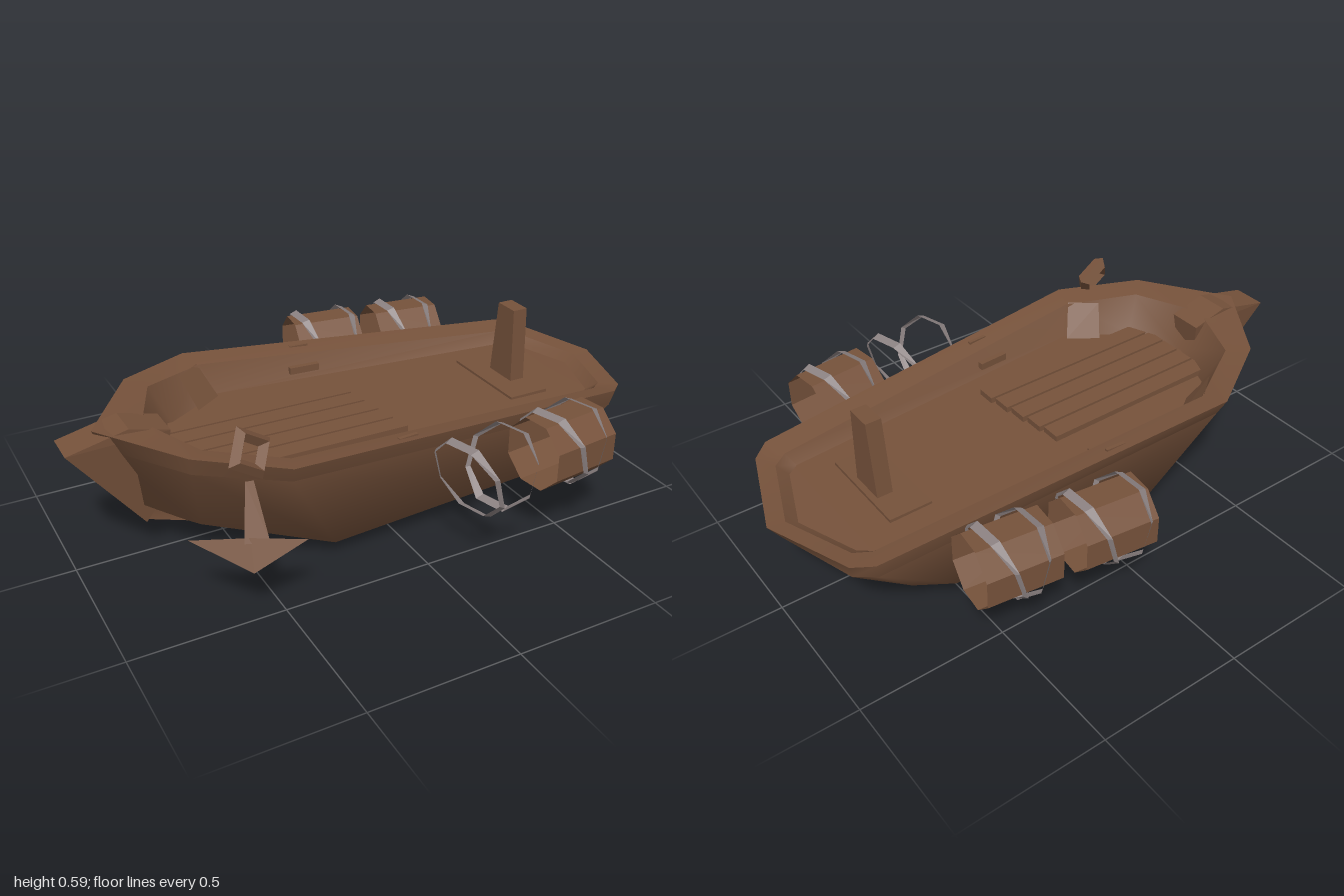
import * as THREE from 'three';
import { mergeVertices } from 'three/addons/utils/BufferGeometryUtils.js';

const wood = new THREE.MeshStandardMaterial({ color: 0x76523b });
wood.name = 'brown wood';
const iron = new THREE.MeshStandardMaterial({ color: 0x8a8080, side: THREE.DoubleSide });
iron.name = 'grey iron';
const sheet = new THREE.MeshStandardMaterial({ color: 0x76523b, side: THREE.DoubleSide });
sheet.name = 'brown thin wood';

// Half-perimeter rings, bow to stern, running from the deck over the rail to the keel
const inner = [[-0.66, 0.33, 0], [-0.58, 0.33, 0.2], [-0.37, 0.33, 0.33], [0.78, 0.31, 0.25], [0.82, 0.31, 0.22], [0.9, 0.305, 0]];
const rings = [
  inner.map(([x, y]) => [x, y, 0]),
  inner,
  [[-0.74, 0.465, 0], [-0.64, 0.46, 0.24], [-0.41, 0.435, 0.37], [0.8, 0.345, 0.285], [0.85, 0.34, 0.25], [0.94, 0.33, 0]],
  [[-0.9, 0.475, 0], [-0.7, 0.475, 0.3], [-0.44, 0.45, 0.455], [0.83, 0.36, 0.36], [0.89, 0.35, 0.31], [1, 0.337, 0]],
  [[-0.86, 0.4, 0], [-0.69, 0.41, 0.28], [-0.43, 0.39, 0.425], [0.82, 0.305, 0.35], [0.88, 0.3, 0.3], [0.965, 0.285, 0]],
  [[-0.8, 0.2, 0], [-0.62, 0.13, 0.13], [-0.24, 0.052, 0.32], [0.55, 0.1, 0.325], [0.67, 0.11, 0.26], [0.88, 0.17, 0]],
  [[-0.75, 0.115, 0], [-0.62, 0.07, 0], [-0.44, 0, 0], [0.5, 0, 0], [0.6, 0, 0], [0.64, 0.003, 0]],
];

// Lofts a run of rings and mirrors it across the centreline
function loft(run) {
  const pos = [], index = [];
  for (const side of [1, -1]) {
    const base = pos.length / 3, n = run[0].length;
    run.forEach(r => r.forEach(([x, y, z]) => pos.push(x, y, z * side)));
    for (let j = 0; j < run.length - 1; j++) {
      for (let i = 0; i < n - 1; i++) {
        const a = base + j * n + i, b = a + 1, d = a + n, c = d + 1;
        if (side > 0) index.push(a, d, c, a, c, b);
        else index.push(a, c, d, a, b, c);
      }
    }
  }
  const g = new THREE.BufferGeometry();
  g.setAttribute('position', new THREE.Float32BufferAttribute(pos, 3));
  g.setIndex(index);
  const merged = mergeVertices(g);
  merged.computeVertexNormals();
  return merged;
}

function add(parent, name, geometry, material, x = 0, y = 0, z = 0, ry = 0) {
  const m = new THREE.Mesh(geometry, material);
  m.name = name;
  m.position.set(x, y, z);
  m.rotation.y = ry;
  parent.add(m);
  return m;
}

const flat = g => {
  const f = g.index ? g.toNonIndexed() : g;
  f.computeVertexNormals();
  return f;
};

// Flat-shaded faces from a list of corner points, three per triangle
function faces(points) {
  const g = new THREE.BufferGeometry();
  g.setAttribute('position', new THREE.Float32BufferAttribute(points.flat(), 3));
  g.computeVertexNormals();
  return g;
}

// Eight-sided open tube lying along x, with flats on top and bottom
function tube(radius, length) {
  const g = new THREE.CylinderGeometry(radius, radius, length, 8, 1, true);
  return flat(g.rotateY(Math.PI / 8).rotateZ(Math.PI / 2));
}

// Leaning, slightly conical hoop whose width swells and narrows around the ring
function hoopGeometry(side) {
  const g = tube(0.14, 0.03), p = g.attributes.position;
  for (let i = 0; i < p.count; i++) {
    const a = Math.atan2(p.getZ(i), p.getY(i)), x = p.getX(i);
    const r = x * side > 0 ? 0.92 : 1;
    p.setXYZ(i, x * (0.65 + 0.35 * Math.cos(2 * a)) + side * 0.035 * Math.cos(a) + 0.02 * Math.sin(a), p.getY(i) * r, p.getZ(i) * r);
  }
  g.computeVertexNormals();
  return g;
}

function barrel(parent, x, z, yaw, gap, withBody) {
  const g = new THREE.Group();
  g.name = withBody ? 'barrel' : 'looseHoops';
  g.position.set(x, 0.32, z);
  g.rotation.y = yaw;
  if (withBody) add(g, 'barrelStaves', tube(0.122, 0.25), sheet);
  for (const s of [-1, 1]) add(g, 'barrelHoop', hoopGeometry(s), iron, s * gap);
  parent.add(g);
}

function anchor() {
  const g = new THREE.Group();
  g.name = 'anchor';
  // Thin blade-like shank widening to the foot
  const A = [-0.58, 0.43, 0.42], B = [-0.555, 0.43, 0.425], C = [-0.62, 0.27, 0.49], D = [-0.55, 0.27, 0.515];
  add(g, 'anchorShank', faces([A, C, D, A, D, B]), sheet);
  // Ring at the head of the shank
  const eye = add(g, 'anchorEye', flat(new THREE.TorusGeometry(0.062, 0.026, 4, 4)), wood, -0.55, 0.503, 0.392, 0.3);
  eye.rotation.x = -0.45;
  eye.rotation.z = 0.3;
  // Two pointed flukes meeting at the foot
  const L = [-0.76, 0.28, 0.41], R = [-0.45, 0.275, 0.56], F = [-0.61, 0.19, 0.53], U = [-0.6, 0.285, 0.49], K = [-0.63, 0.24, 0.47];
  add(g, 'anchorFlukes', faces([L, F, U, F, R, U, L, K, F, F, K, R]), sheet);
  return g;
}

export function createModel() {
  const model = new THREE.Group();
  model.name = 'rowingBoat';

  // Hull in separately shaded strips
  [['deck', 0, 2], ['innerWall', 1, 3], ['railTop', 2, 4], ['railSide', 3, 5], ['hull', 4, 7]]
    .forEach(([name, a, b]) => add(model, name, loft(rings.slice(a, b)), wood));

  // Bow stem, narrowing towards the keel
  const profile = [[-1, 0.44], [-0.76, 0.115], [-0.7, 0.2], [-0.67, 0.45], [-0.8, 0.485]];
  const stem = new THREE.ExtrudeGeometry(new THREE.Shape(profile.map(p => new THREE.Vector2(...p))), { depth: 0.12, bevelEnabled: false });
  stem.translate(0, 0, -0.06);
  const sp = stem.attributes.position;
  for (let i = 0; i < sp.count; i++) sp.setZ(i, sp.getZ(i) * (0.2 + 0.8 * Math.min(1, (sp.getY(i) - 0.1) / 0.33)));
  add(model, 'bowStem', flat(stem), wood);

  // Floor planks
  for (let i = 0; i < 5; i++) {
    const end = 0.04 + i * 0.012, start = -0.63;
    const p = add(model, 'floorPlank', new THREE.BoxGeometry(end - start, 0.025, 0.068), wood, (start + end) / 2, 0.335, -0.13 + i * 0.077);
    p.rotation.z = -0.012;
  }

  // Stern post standing on a low seat board
  add(model, 'seatBoard', new THREE.BoxGeometry(0.15, 0.016, 0.35), wood, 0.605, 0.315, 0);
  const post = new THREE.BoxGeometry(0.055, 0.28, 0.13);
  const pp = post.attributes.position;
  for (let i = 0; i < pp.count; i++) if (pp.getY(i) > 0) pp.setZ(i, pp.getZ(i) * 0.7 + 0.01);
  add(model, 'sternPost', flat(post), wood, 0.632, 0.45, 0);

  // Fittings mirrored on both sides
  for (const s of [-1, 1]) {
    // Sloping board in each bow corner, facing inward
    const [a, b, c, d] = [[-0.51, 0.44, 0.3], [-0.42, 0.44, 0.37], [-0.37, 0.33, 0.31], [-0.47, 0.33, 0.24]].map(([x, y, z]) => [x, y, z * s]);
    add(model, 'bowCornerBoard', faces(s < 0 ? [a, d, c, a, c, b] : [a, c, d, a, b, c]), wood);
    add(model, 'innerCleat', new THREE.BoxGeometry(0.11, 0.025, 0.02), wood, -0.035, 0.36, s * 0.315, s * 0.07);
    add(model, 'railCleat', new THREE.BoxGeometry(0.07, 0.02, 0.012), wood, -0.02, 0.41, s * 0.39, s * 0.07);
  }

  // Barrels and hoops slung alongside
  barrel(model, 0.165, -0.56, -0.12, 0.06, true);
  barrel(model, 0.485, -0.515, -0.12, 0.04, true);
  barrel(model, 0.485, 0.515, 0.12, 0.04, true);
  barrel(model, 0.165, 0.55, 0.12, 0.07, false);

  model.add(anchor());
  return model;
}
